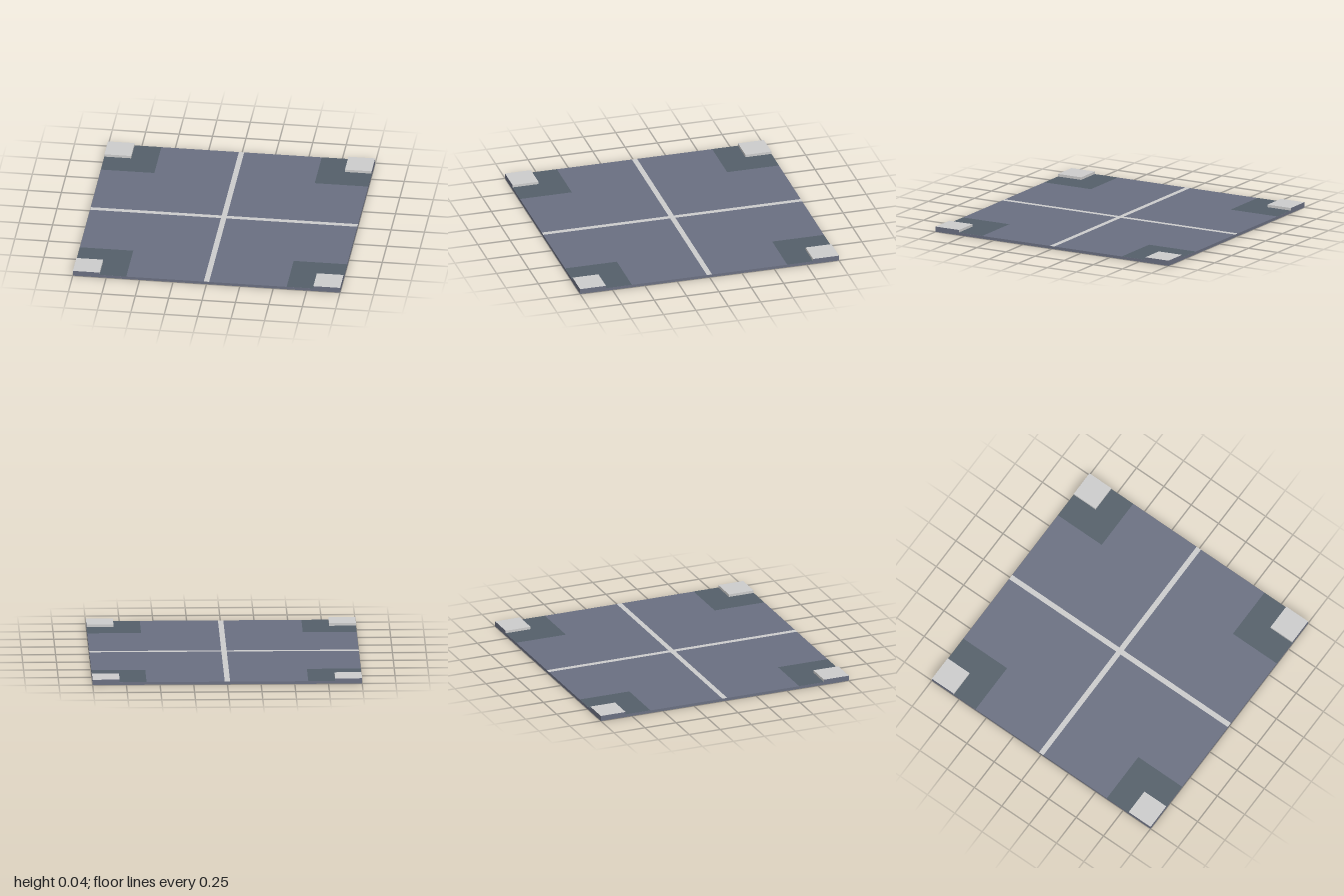
import * as THREE from 'three';

export function createModel() {
  const root = new THREE.Group();
  const grey = new THREE.MeshStandardMaterial({ color: 0xcccccc });
  const slate = new THREE.MeshStandardMaterial({ color: 0x6a6f81 });
  const dark = new THREE.MeshStandardMaterial({ color: 0x545f69 });

  const SLAB = 0.02, BLOCK = 0.2, PATCH = 0.4, LINE = 0.04, LIFT = 0.0006;

  function add(name, geometry, material, x, y, z) {
    const mesh = new THREE.Mesh(geometry, material);
    mesh.name = name;
    mesh.position.set(x, y, z);
    root.add(mesh);
  }
  // flat inlay lying just above the slab
  function inlay(name, w, d, material, x, z) {
    add(name, new THREE.PlaneGeometry(w, d).rotateX(-Math.PI / 2), material, x, SLAB + LIFT, z);
  }

  // floor slab with a plain underside
  add('floorSlab', new THREE.BoxGeometry(2, SLAB, 2),
    [slate, slate, slate, grey, slate, slate], 0, SLAB / 2, 0);

  // crossing lines, the second split so that they do not overlap
  inlay('lineAcross', 2, LINE, grey, 0, 0);
  for (const s of [-1, 1]) {
    inlay('lineAlong', LINE, 1 - LINE / 2, grey, 0, s * (0.5 + LINE / 4));
  }

  // corners: dark patch and raised block, slate on its outer walls
  for (const sx of [-1, 1]) {
    for (const sz of [-1, 1]) {
      inlay('cornerPatch', PATCH, PATCH, dark, sx * (1 - PATCH / 2), sz * (1 - PATCH / 2));
      const walls = [
        sx > 0 ? slate : grey, sx < 0 ? slate : grey,
        grey, grey,
        sz > 0 ? slate : grey, sz < 0 ? slate : grey,
      ];
      add('cornerBlock', new THREE.BoxGeometry(BLOCK, 0.02, BLOCK), walls,
        sx * (1 - BLOCK / 2), SLAB + 0.01, sz * (1 - BLOCK / 2));
    }
  }
  return root;
}
